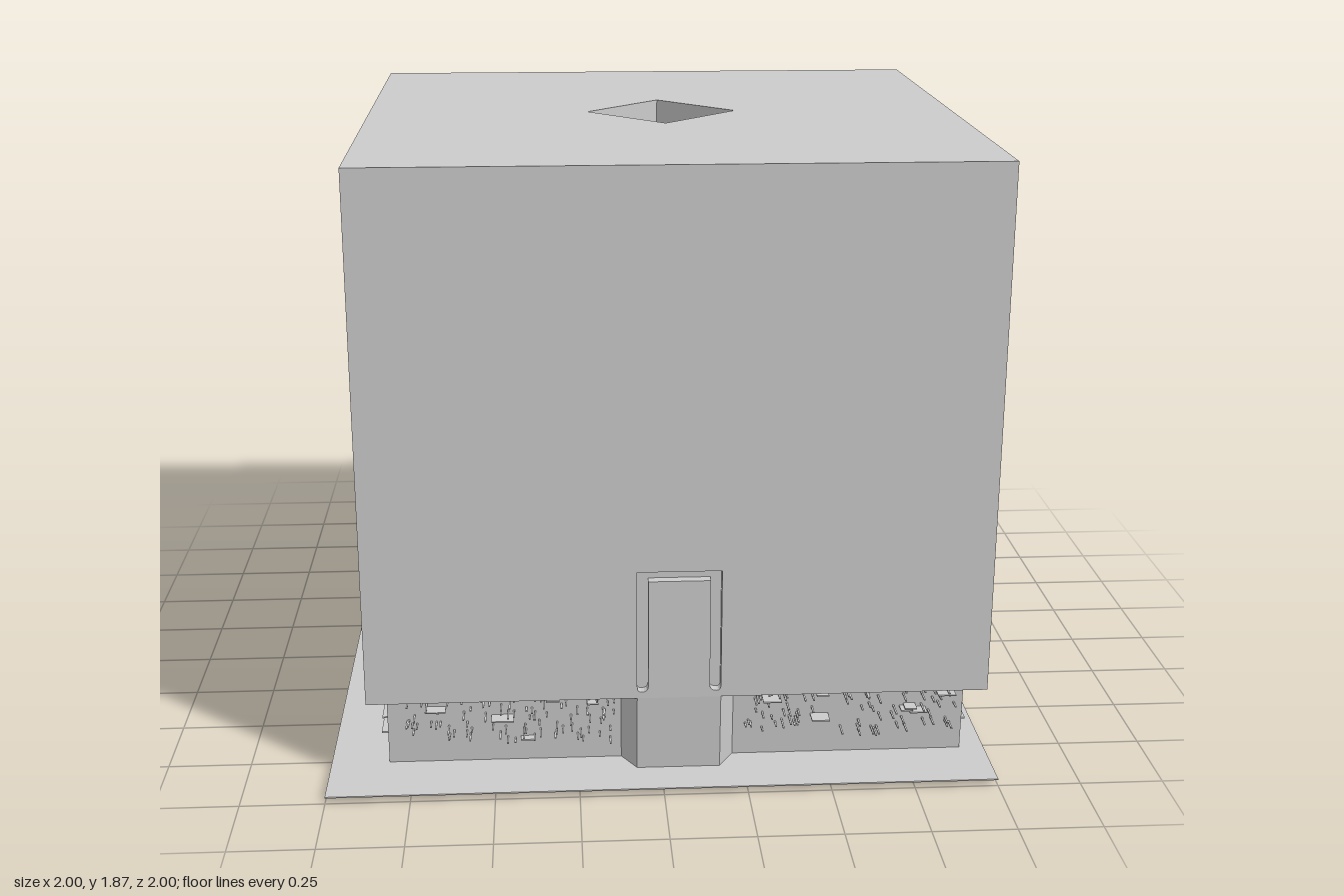
import * as THREE from 'three';
import { mergeGeometries } from 'three/addons/utils/BufferGeometryUtils.js';

const HALF = 0.93, Y0 = 0.26, Y_ROOF = 1.745, Y_TOP = 1.865, GROUND = 0.02, GROOVE = 0.03;
const grey = new THREE.MeshStandardMaterial({ color: 0xcccccc, flatShading: true });

const polygon = (points, Type = THREE.Shape) => new Type(points.map(([x, y]) => new THREE.Vector2(x, y)));
const square = (h) => [[-h, -h], [h, -h], [h, h], [-h, h]];
const diamond = (r) => [[0, -r], [r, 0], [0, r], [-r, 0]];

function add(parent, name, geometry) {
  const mesh = new THREE.Mesh(geometry, grey);
  mesh.name = name;
  parent.add(mesh);
  return mesh;
}

function box(w, h, d, x, y, z) {
  return new THREE.BoxGeometry(w, h, d).translate(x, y, z);
}

// Extrudes a plan shape upward from height y
function slab(shape, height, y) {
  return new THREE.ExtrudeGeometry(shape, { depth: height, bevelEnabled: false })
    .rotateX(-Math.PI / 2).translate(0, y, 0);
}

// The foot of the building leans slightly along z
function lean(geometry) {
  const m = new THREE.Matrix4().makeShear(0, 0, 0, 0.055, 0, 0);
  return geometry.translate(0, -Y0, 0).applyMatrix4(m).translate(0, Y0, 0);
}

// Wall with a U-shaped door groove whose feet are rounded
function wallGeometry() {
  const wall = polygon([[-HALF, Y0], [HALF, Y0], [HALF, Y_ROOF], [-HALF, Y_ROOF]]);
  const out = 0.125, inn = 0.092, foot = 0.285, r = 0.012;
  const u = new THREE.Path();
  u.moveTo(-out, 0.665);
  u.lineTo(-out, foot + r);
  u.quadraticCurveTo(-out, foot - 0.005, -out + r, foot - 0.005);
  u.quadraticCurveTo(-inn, foot - 0.005, -inn, foot + r);
  u.lineTo(-inn, 0.635);
  u.lineTo(inn, 0.635);
  u.lineTo(inn, foot + r);
  u.quadraticCurveTo(inn, foot - 0.005, out - r, foot - 0.005);
  u.quadraticCurveTo(out, foot - 0.005, out, foot + r);
  u.lineTo(out, 0.665);
  u.closePath();
  wall.holes.push(u);
  return new THREE.ExtrudeGeometry(wall, { depth: GROOVE, bevelEnabled: false, curveSegments: 4 })
    .translate(0, 0, HALF - GROOVE);
}

// Small seeded generator for the slats
function seeded(seed) {
  let s = seed;
  return () => (s = (s * 16807) % 2147483647) / 2147483647;
}

export function createModel() {
  const model = new THREE.Group();
  model.name = 'cubeBuilding';

  add(model, 'groundPlate', box(2, 0.004, 2, 0, GROUND, 0));
  add(model, 'undersideStrip', box(0.62, 0.02, 0.014, -0.34, 0.01, 0.03));

  const building = new THREE.Group();
  building.name = 'building';
  building.position.set(0.05, 0, -0.045);
  model.add(building);

  // Upper cube: core, four grooved walls, roof pierced by a diamond
  const inner = 2 * (HALF - GROOVE);
  add(building, 'core', box(inner, Y_ROOF - Y0, inner, 0, (Y_ROOF + Y0) / 2, 0));
  for (let i = 0; i < 4; i++) {
    add(building, 'wall', wallGeometry()).rotation.y = i * Math.PI / 2;
  }
  const roof = polygon(square(HALF));
  roof.holes.push(polygon(diamond(0.235), THREE.Path));
  add(building, 'roof', slab(roof, Y_TOP - Y_ROOF, Y_ROOF));

  // Ornamental lattice at the bottom of the roof opening
  const lattice = polygon(square(0.117));
  lattice.holes.push(polygon(diamond(0.088), THREE.Path));
  const cells = [-0.092, -0.034, 0.034, 0.092];
  for (const x of cells) {
    for (const z of cells) {
      const corner = Math.abs(x) > 0.05 && Math.abs(z) > 0.05;
      if (Math.abs(x) < 0.05 && Math.abs(z) < 0.05) continue;
      const s = corner ? 0.018 : 0.013, a = Math.sign(x) * s, b = Math.sign(z) * s;
      // Triangles with the right angle facing outward
      lattice.holes.push(polygon([[x + a, z + b], [x - a, z + b], [x + a, z - b]], THREE.Path));
    }
  }
  add(building, 'lattice', slab(lattice, 0.012, Y_ROOF));
  const ring = polygon(diamond(0.112));
  ring.holes.push(polygon(diamond(0.09), THREE.Path));
  add(building, 'latticeRing', slab(ring, 0.018, Y_ROOF));

  // Recessed base
  const baseX = 0.875, baseZ = 0.855, baseH = Y0 - GROUND, midY = (Y0 + GROUND) / 2;
  add(building, 'base', lean(box(2 * baseX, baseH, 2 * baseZ, 0, midY, 0)));

  // Splayed door piers, flush with the walls above
  for (let i = 0; i < 4; i++) {
    const back = i % 2 ? baseX : baseZ;
    const plan = polygon([[-0.17, -back], [-0.125, -HALF], [0.125, -HALF], [0.17, -back], [0.17, -0.8], [-0.17, -0.8]]);
    add(building, 'doorPier', lean(slab(plan, baseH, GROUND).rotateY(i * Math.PI / 2)));
  }

  // Thin slats projecting from the front and back of the base
  const random = seeded(4271);
  const slats = [];
  for (const side of [-1, 1]) {
    for (let i = 0; i < 170; i++) {
      const x = (random() < 0.5 ? -1 : 1) * (0.19 + random() * 0.66);
      const y = 0.09 + random() * 0.15;
      const w = random() < 0.12 ? 0.03 + random() * 0.04 : 0.005;
      const reach = 0.025 + random() * 0.035;
      slats.push(box(w, 0.004, reach + 0.02, x, y, side * (baseZ + reach / 2 - 0.01)));
    }
  }
  add(building, 'shortSlats', lean(mergeGeometries(slats)));

  // Long ledges running along the two sides of the base
  const ledges = [];
  const rows = [[0.095, 0.48, 0.62], [0.12, 0.28, 0.2], [0.125, 0.6, 0.3], [0.135, 0.25, 0.12], [0.197, 0.33, 0.27], [0.195, 0.66, 0.22]];
  for (const sx of [-1, 1]) {
    for (const sz of [-1, 1]) {
      for (const [y, z, length] of rows) {
        ledges.push(box(0.04, 0.005, length, sx * (baseX + 0.005), y, sz * z));
      }
    }
  }
  add(building, 'longLedges', mergeGeometries(ledges));

  return model;
}
